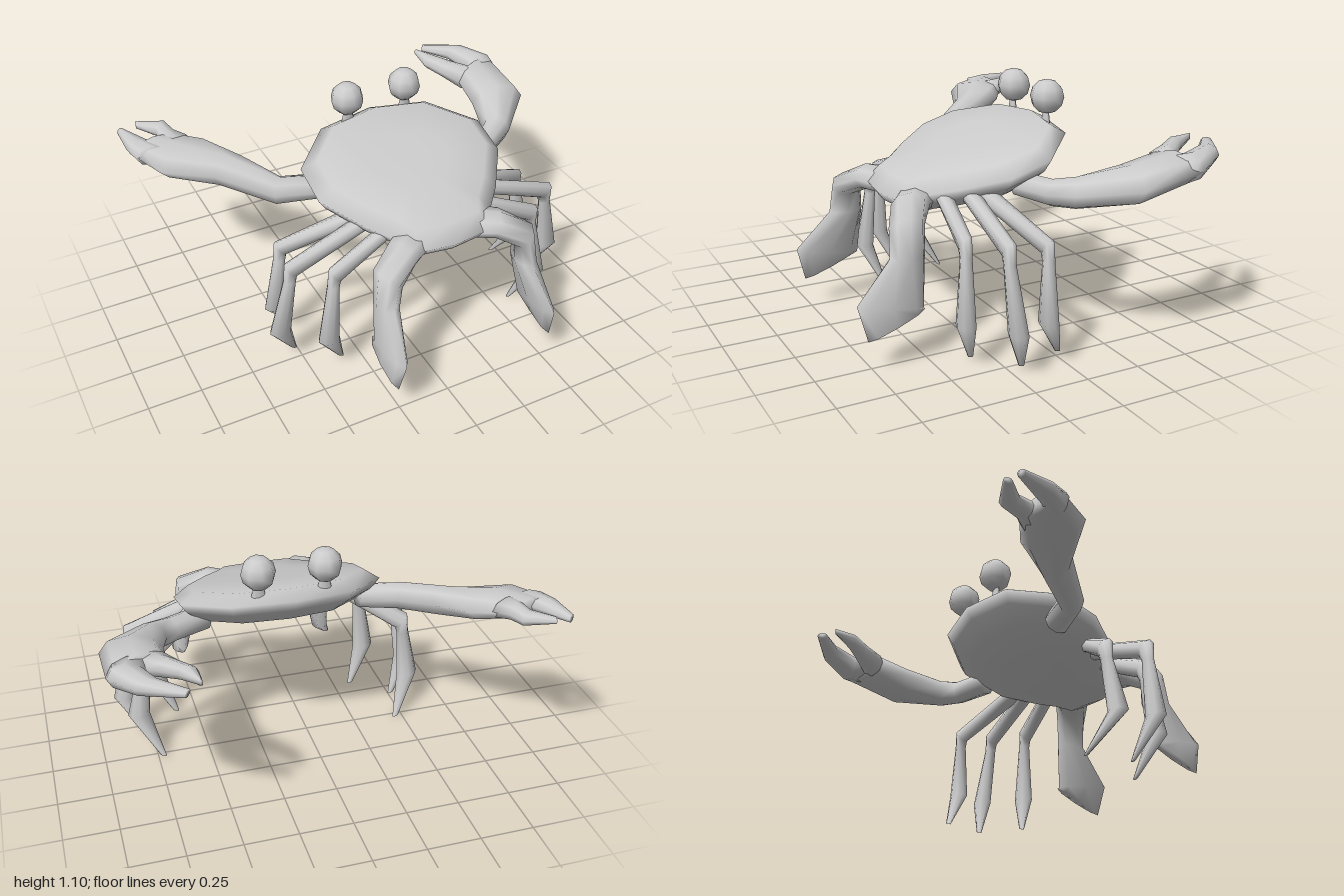
import * as THREE from 'three';

const MID = 0.13; // x of the body's mirror plane
const V = (a) => new THREE.Vector3(...a);
const material = new THREE.MeshStandardMaterial({ color: 0xcccccc });

// Closed skin over rings of equal point count, capped at both ends
function loft(rings) {
  const n = rings[0].length, pts = rings.flat(), index = [];
  for (let r = 0; r < rings.length - 1; r++) {
    for (let k = 0; k < n; k++) {
      const a = r * n + k, b = r * n + (k + 1) % n;
      index.push(a, b, b + n, a, b + n, a + n);
    }
  }
  const last = (rings.length - 1) * n;
  const centre = (ring) => ring.reduce((s, p) => s.add(p), new THREE.Vector3()).divideScalar(n);
  const c0 = pts.push(centre(rings[0])) - 1;
  const c1 = pts.push(centre(rings[rings.length - 1])) - 1;
  for (let k = 0; k < n; k++) {
    const j = (k + 1) % n;
    index.push(c0, j, k, c1, last + k, last + j);
  }
  // Turn all faces outward, judged by the signed volume
  let volume = 0;
  for (let i = 0; i < index.length; i += 3) {
    const [a, b, c] = [0, 1, 2].map((d) => pts[index[i + d]]);
    volume += a.dot(b.clone().cross(c));
  }
  if (volume < 0) index.reverse();
  const geo = new THREE.BufferGeometry().setFromPoints(pts);
  geo.setIndex(index);
  geo.computeVertexNormals();
  return geo;
}

// Elliptical ring from a centre and two half axes
function ring(c, u, v, n = 8) {
  return Array.from({ length: n }, (_, k) => {
    const t = (k / n) * Math.PI * 2;
    return c.clone().addScaledVector(u, Math.cos(t)).addScaledVector(v, Math.sin(t));
  });
}

// Limb from [centre, half axis u, half axis v] sections, optionally mirrored
function limb(sections, mirror) {
  const rings = sections.map(([c, u, v]) => ring(V(c), V(u), V(v)));
  if (mirror) rings.flat().forEach((p) => { p.x = 2 * MID - p.x; });
  return loft(rings);
}

// Claw piece from [inner x, inner z, outer x, outer z, height, half thickness]
function clawPiece(rows) {
  return loft(rows.map(([xi, zi, xo, zo, y, h]) => ring(
    V([(xi + xo) / 2, y, (zi + zo) / 2]),
    V([(xo - xi) / 2, 0, (zo - zi) / 2]),
    V([0, h, 0]))));
}

export function createModel() {
  const model = new THREE.Group();
  const add = (name, geo, parent = model) => {
    const mesh = new THREE.Mesh(geo, material);
    mesh.name = name;
    parent.add(mesh);
    return mesh;
  };

  // Shell: concentric copies of the rim outline on a plane that tilts up to the eyes
  const half = [[0.28, -0.24], [0.47, -0.05], [0.47, 0.14], [0.34, 0.33], [0.24, 0.44], [0.19, 0.53]];
  const outline = [[0, -0.29], ...half, [0, 0.55],
    ...half.map(([x, z]) => [-x, z]).reverse()];
  const shellRing = ([s, dy]) => outline.map(([x, z]) => {
    const zz = 0.13 + (z - 0.13) * s;
    return V([MID + x * s, 0.815 - 0.3 * zz + dy, zz]);
  });
  add('shell', loft([[0.4, 0.062], [0.85, 0.052], [1, 0], [0.93, -0.05], [0.75, -0.11], [0.4, -0.145]].map(shellRing)));

  // Eyes on short stalks
  for (const side of [-1, 1]) {
    const x = MID + side * 0.15;
    const eye = new THREE.Group();
    eye.name = side > 0 ? 'leftEye' : 'rightEye';
    add('eyeball', new THREE.SphereGeometry(0.079, 8, 6), eye).position.set(x, 1.03, -0.22);
    const stalk = add('eyeStalk', new THREE.CylinderGeometry(0.018, 0.045, 0.12, 8), eye);
    stalk.position.set(x, 0.92, -0.215);
    stalk.scale.z = 0.4;
    model.add(eye);
  }

  // Walking legs: hip, knee, shin, foot
  const legs = [
    ['frontLeg', [0.44, 0.7, 0.21], [0.765, 0.515, 0.06], [0.815, 0.2, 0.08], [0.725, 0.01, -0.025]],
    ['middleLeg', [0.38, 0.7, 0.25], [0.8, 0.55, 0.265], [0.86, 0.2, 0.25], [0.775, 0.01, 0.185]],
    ['hindLeg', [0.33, 0.69, 0.34], [0.64, 0.545, 0.38], [0.685, 0.2, 0.4], [0.6, 0.01, 0.335]],
  ];
  // Rear swimming legs ending in broad paddles
  const paddle = [
    [[0.26, 0.645, 0.41], [-0.04, 0, 0.09], [0, 0.06, 0]],
    [[0.37, 0.655, 0.5], [-0.035, 0, 0.075], [0.015, 0.055, 0]],
    [[0.475, 0.6, 0.565], [-0.015, 0, 0.075], [0.045, 0.04, 0]],
    [[0.485, 0.47, 0.57], [0, 0, 0.08], [0.05, 0, 0]],
    [[0.51, 0.27, 0.66], [0, 0.03, 0.15], [0.037, 0, 0]],
    [[0.525, 0.19, 0.64], [0, -0.05, 0.13], [0.025, 0, 0]],
  ];
  for (const mirror of [false, true]) {
    const side = mirror ? 'right ' : 'left ';
    for (const [name, hip, knee, shin, foot] of legs) {
      add(side + name, limb([
        [hip, [0.015, 0, 0.045], [0, 0.04, 0]],
        [knee, [0.008, 0, 0.034], [0.03, 0.035, 0]],
        [[knee[0] + 0.008, knee[1] - 0.06, knee[2]], [0, 0, 0.026], [0.03, 0.005, 0]],
        [shin, [0, 0, 0.042], [0.052, 0, 0]],
        [foot, [0, 0, 0.01], [0.015, 0.005, 0]],
      ], mirror));
    }
    add(side + 'paddleLeg', limb(paddle, mirror));
  }

  // Claws: arm with palm, thick fixed finger, small moving finger; the two are posed differently
  const claws = {
    leftClaw: {
      armAndPalm: [
        [0.46, -0.03, 0.5, 0.09, 0.71, 0.055],
        [0.62, -0.08, 0.67, 0.02, 0.705, 0.06],
        [0.68, -0.13, 0.79, -0.05, 0.72, 0.07],
        [0.72, -0.29, 0.99, -0.25, 0.765, 0.08],
        [0.73, -0.46, 0.99, -0.54, 0.815, 0.065],
      ],
      fixedFinger: [
        [0.8, -0.46, 0.985, -0.5, 0.81, 0.062],
        [0.83, -0.55, 0.99, -0.55, 0.82, 0.06],
        [0.79, -0.67, 0.9, -0.7, 0.845, 0.04],
        [0.69, -0.77, 0.72, -0.81, 0.855, 0.015],
      ],
      movingFinger: [
        [0.73, -0.44, 0.86, -0.49, 0.81, 0.06],
        [0.68, -0.55, 0.79, -0.56, 0.83, 0.045],
        [0.63, -0.64, 0.72, -0.64, 0.85, 0.035],
        [0.635, -0.75, 0.655, -0.74, 0.865, 0.015],
      ],
    },
    rightClaw: {
      armAndPalm: [
        [-0.24, -0.08, -0.24, 0.05, 0.735, 0.055],
        [-0.41, -0.12, -0.48, -0.03, 0.735, 0.07],
        [-0.51, -0.28, -0.69, -0.24, 0.78, 0.075],
        [-0.62, -0.46, -0.91, -0.33, 0.82, 0.07],
        [-0.75, -0.55, -0.995, -0.51, 0.845, 0.045],
      ],
      fixedFinger: [
        [-0.82, -0.44, -0.98, -0.46, 0.84, 0.05],
        [-0.89, -0.55, -1, -0.54, 0.85, 0.04],
        [-0.97, -0.7, -1, -0.68, 0.86, 0.02],
      ],
      movingFinger: [
        [-0.7, -0.51, -0.85, -0.46, 0.84, 0.05],
        [-0.75, -0.57, -0.84, -0.53, 0.85, 0.042],
        [-0.77, -0.66, -0.84, -0.6, 0.86, 0.035],
        [-0.9, -0.72, -0.91, -0.68, 0.87, 0.015],
      ],
    },
  };
  for (const [name, parts] of Object.entries(claws)) {
    const claw = new THREE.Group();
    claw.name = name;
    for (const [part, rows] of Object.entries(parts)) add(part, clawPiece(rows), claw);
    model.add(claw);
  }
  return model;
}
